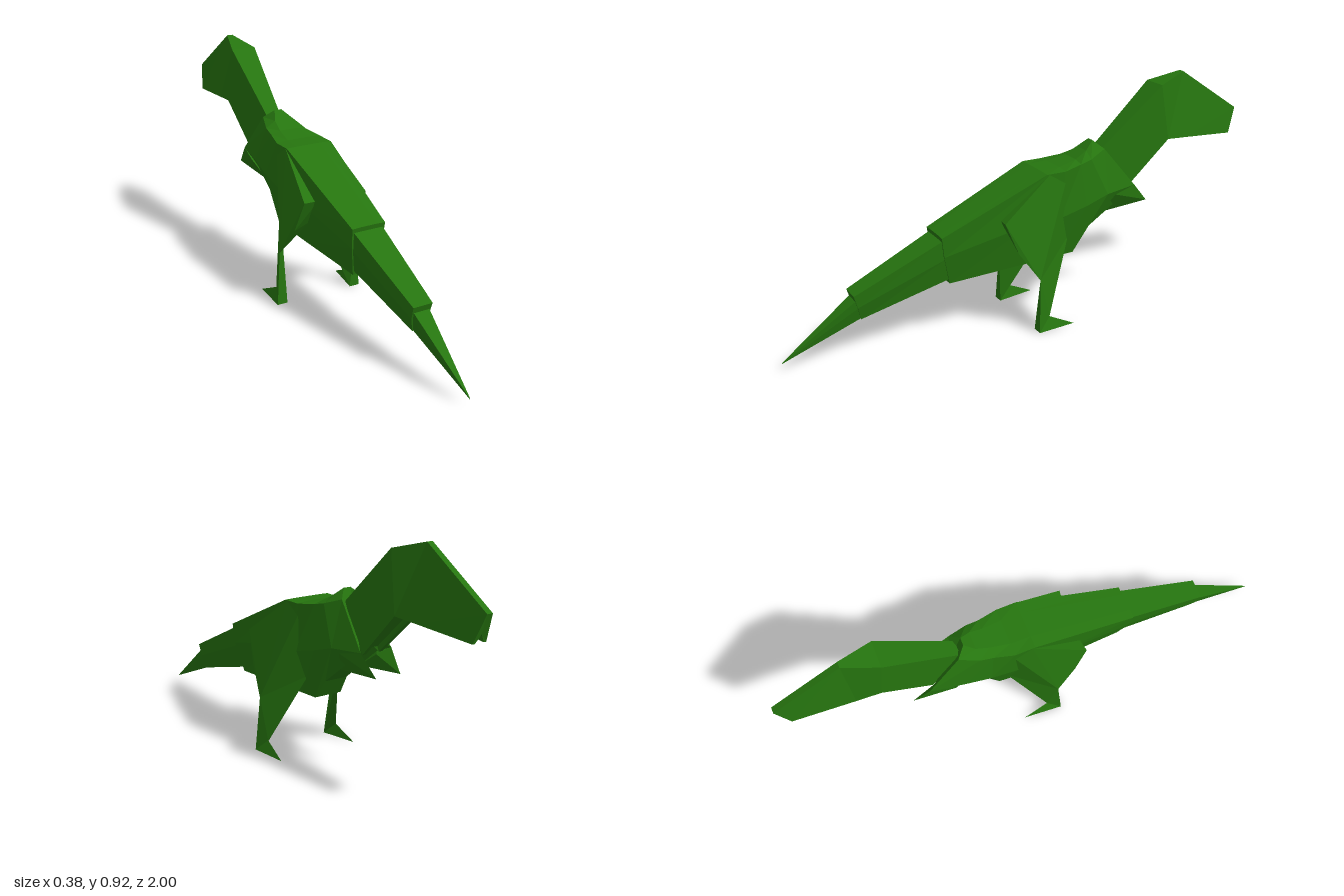
import * as THREE from 'three';
import { ConvexGeometry } from 'three/addons/geometries/ConvexGeometry.js';

const skin = new THREE.MeshStandardMaterial({ color: 0x26750f });
skin.name = 'green skin';

// Loft closed rings running from +z to -z; each ring is a half outline (top to bottom) mirrored in x
function loft(name, halves) {
  const rings = halves.map(h => [...h, ...h.map(([x, y, z]) => [-x, y, z]).reverse()]);
  const n = rings[0].length;
  const pos = [];
  const tri = (...corners) => corners.forEach(c => pos.push(...c));
  for (let r = 0; r < rings.length - 1; r++) {
    for (let i = 0; i < n; i++) {
      const j = (i + 1) % n, a = rings[r], b = rings[r + 1];
      tri(a[i], a[j], b[i]);
      tri(a[j], b[j], b[i]);
    }
  }
  const centre = ring => [0, 1, 2].map(k => ring.reduce((s, p) => s + p[k], 0) / n);
  const first = rings[0], last = rings[rings.length - 1];
  for (let i = 0; i < n; i++) {
    const j = (i + 1) % n;
    tri(centre(first), first[j], first[i]);
    tri(centre(last), last[i], last[j]);
  }
  const geo = new THREE.BufferGeometry();
  geo.setAttribute('position', new THREE.Float32BufferAttribute(pos, 3));
  geo.computeVertexNormals();
  const mesh = new THREE.Mesh(geo, skin);
  mesh.name = name;
  return mesh;
}

// Faceted solid around a few corner points, on the given side
function hull(name, side, points) {
  const mesh = new THREE.Mesh(
    new ConvexGeometry(points.map(([x, y, z]) => new THREE.Vector3(x * side, y, z))), skin);
  mesh.name = name;
  return mesh;
}

export function createModel() {
  const model = new THREE.Group();
  model.name = 'dinosaur';

  // Torso, from hips to raised collar
  model.add(loft('torso', [
    [[0.035, 0.422, 0.39], [0.07, 0.42, 0.39], [0.065, 0.34, 0.38], [0.04, 0.22, 0.35]],
    [[0.05, 0.608, -0.04], [0.098, 0.607, -0.04], [0.095, 0.42, 0.03], [0.06, 0.242, 0.03]],
    [[0.05, 0.612, -0.12], [0.098, 0.607, -0.12], [0.098, 0.42, -0.1], [0.065, 0.25, -0.1]],
    [[0.04, 0.628, -0.2], [0.08, 0.618, -0.2], [0.098, 0.45, -0.22], [0.06, 0.25, -0.18]],
    [[0.035, 0.655, -0.25], [0.075, 0.63, -0.25], [0.092, 0.48, -0.32], [0.05, 0.325, -0.23]],
    [[0.015, 0.687, -0.29], [0.05, 0.655, -0.325], [0.07, 0.49, -0.46], [0.045, 0.39, -0.31]],
  ]));

  // Tail in two stepped segments
  model.add(loft('tailBase', [
    [[0.04, 0.25, 0.73], [0.036, 0.2, 0.715], [0.02, 0.145, 0.7]],
    [[0.062, 0.407, 0.38], [0.058, 0.33, 0.37], [0.038, 0.24, 0.34]],
  ]));
  model.add(loft('tailTip', [
    [[0.001, 0.032, 1], [0.001, 0.031, 1], [0.001, 0.03, 1]],
    [[0.034, 0.235, 0.71], [0.03, 0.2, 0.705], [0.018, 0.152, 0.69]],
  ]));

  // Neck and head, with a groove along the underside
  const headRing = (top, low) => [
    top, low,
    [low[0] * 0.65, low[1], low[2]],
    [low[0] * 0.6, low[1] + 0.02, low[2] + 0.005],
  ];
  model.add(loft('neckAndHead', [
    headRing([0.028, 0.63, -0.3], [0.045, 0.475, -0.44]),
    headRing([0.052, 0.88, -0.59], [0.061, 0.655, -0.625]),
    headRing([0.012, 0.915, -0.72], [0.053, 0.648, -0.72]),
    headRing([0.012, 0.73, -1], [0.03, 0.628, -0.96]),
  ]));

  for (const side of [1, -1]) {
    const prefix = side > 0 ? 'left' : 'right';

    // Small pointed arm at the chest
    model.add(hull(prefix + 'Arm', side, [
      [0.07, 0.49, -0.46], [0.088, 0.47, -0.36], [0.055, 0.41, -0.53],
      [0.05, 0.43, -0.43], [0.045, 0.39, -0.31], [0.035, 0.46, -0.42],
    ]));

    const knee = [0.172, 0.215, 0.03], shinFront = [0.072, 0.33, -0.15];
    const ankle = [0.165, 0.05, -0.015];
    const heelOuter = [0.188, 0, 0.04], heelInner = [0.145, 0, 0.04];

    // Thigh flaring out from the hip
    model.add(hull(prefix + 'Thigh', side, [
      [0.098, 0.605, -0.05], [0.098, 0.56, -0.12], [0.135, 0.455, 0.16], [0.15, 0.33, 0.11],
      [0.07, 0.45, 0.15], [0.07, 0.34, 0.08], [0.06, 0.5, -0.05], knee, shinFront,
    ]));

    // Thin shin and pointed foot
    model.add(hull(prefix + 'Shin', side, [knee, shinFront, ankle, heelOuter, heelInner]));
    model.add(hull(prefix + 'Foot', side, [ankle, heelOuter, heelInner, [0.175, 0, -0.12]]));
  }
  return model;
}
